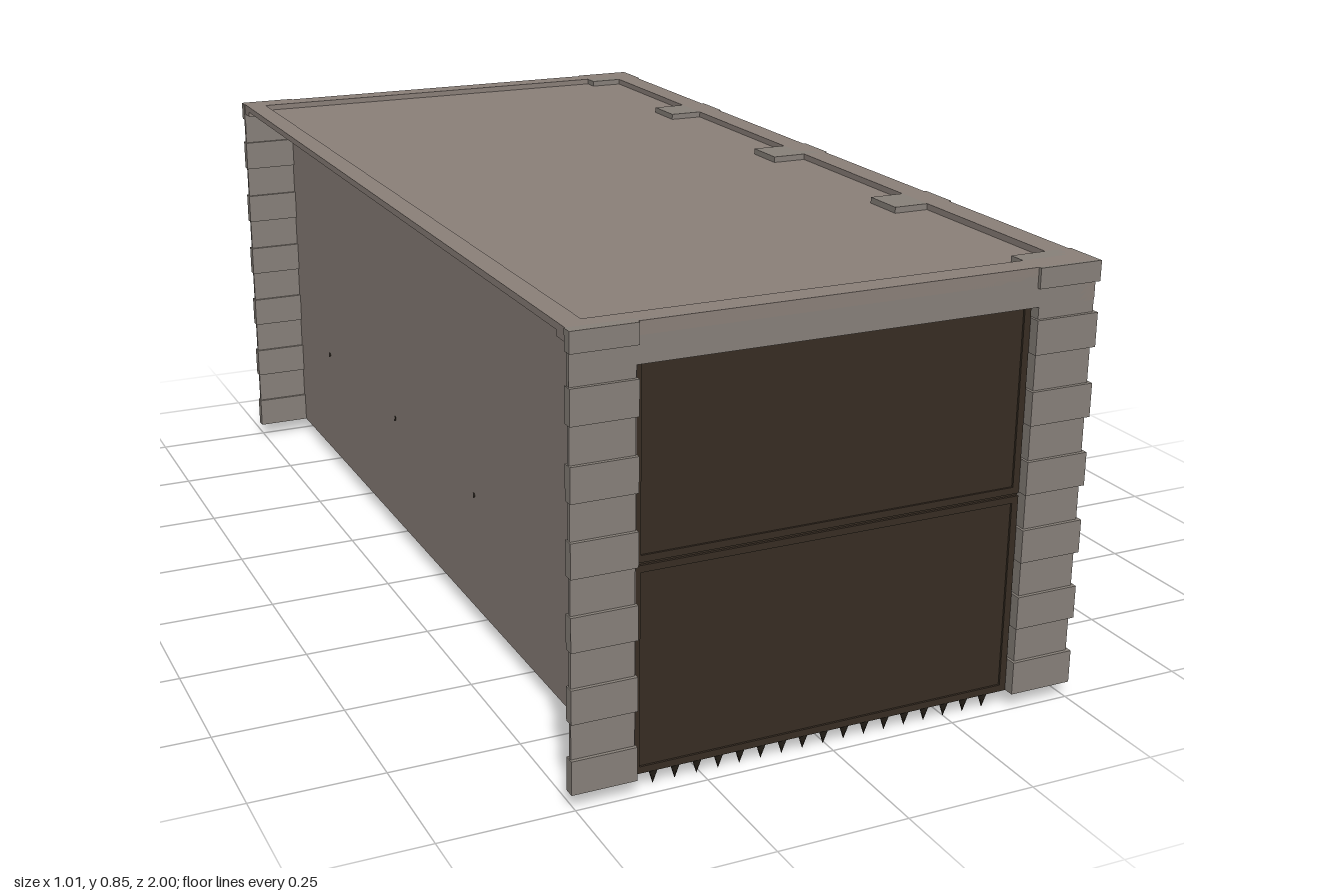
import * as THREE from 'three';

export function createModel() {
  const mat = (name, color) => {
    const m = new THREE.MeshStandardMaterial({ color });
    m.name = name;
    return m;
  };
  const plaster = mat('warm plaster', 0x8b8079);
  const stone = mat('grey stone', 0x88817a);
  const wood = mat('dark wood', 0x372d23);
  const iron = mat('black iron', 0x2a241c);

  const model = new THREE.Group();
  model.name = 'stableBlock';

  // Box given by its minimum and maximum on each axis
  const box = (parent, name, m, x0, x1, y0, y1, z0, z1) => {
    const mesh = new THREE.Mesh(new THREE.BoxGeometry(x1 - x0, y1 - y0, z1 - z0), m);
    mesh.position.set((x0 + x1) / 2, (y0 + y1) / 2, (z0 + z1) / 2);
    mesh.name = name;
    parent.add(mesh);
    return mesh;
  };
  const group = (name) => {
    const g = new THREE.Group();
    g.name = name;
    model.add(g);
    return g;
  };

  const FLOOR = 0.03, TOP = 0.848;

  // Heights of the alternating stone blocks; the last is cut by the roof
  const courses = [];
  for (let i = 0; i < 7; i++) {
    const y = i === 6 ? 0.81 : FLOOR + i * 0.1318;
    courses.push([y, i === 6 ? TOP : y + 0.064]);
  }

  // Roof: recessed slab inside a raised rim
  const roof = group('roof');
  box(roof, 'roofSlab', plaster, -0.465, 0.45, 0.824, 0.836, -0.947, 0.947);
  box(roof, 'roofRimRight', plaster, -0.505, -0.463, 0.835, TOP, -0.993, 0.993);
  box(roof, 'roofRimLeft', plaster, 0.45, 0.5, 0.775, TOP, -0.993, 0.993);
  for (const s of [-1, 1]) {
    const z = [s * 0.945, s * 0.993].sort((a, b) => a - b);
    box(roof, 'roofRimEnd', plaster, -0.505, 0.5, 0.824, TOP, z[0], z[1]);
    // Lintel over each end panel
    const l = [s * 0.982, s * 0.993].sort((a, b) => a - b);
    box(roof, 'endLintel', stone, -0.505, 0.5, 0.775, TOP, l[0], l[1]);
  }

  // Closed side wall, set in from the roof edge
  box(model, 'sideWall', plaster, -0.392, -0.385, FLOOR, 0.83, -0.99, 0.99);

  // Thin facade piers beside the closed wall, blocked on both faces
  for (const s of [-1, 1]) {
    const pier = group('facadePier');
    const span = (a, b) => (s > 0 ? [a, b] : [-b, -a]);
    box(pier, 'pierPlate', stone, -0.505, -0.388, FLOOR, TOP - 0.002, ...span(0.985, 0.993));
    for (const [y0, y1] of courses)
      box(pier, 'pierBlock', stone, -0.507, -0.385, y0, y1, ...span(0.979, 1.0));
  }

  // Open-side pillars
  for (const z of [-0.955, -0.4975, 0, 0.4825, 0.955]) {
    const corner = Math.abs(z) > 0.9;
    const pillar = group(corner ? 'cornerPillar' : 'middlePillar');
    box(pillar, 'pillarShaft', stone, 0.383, 0.499, FLOOR, TOP - 0.002, z - 0.038, z + 0.038);
    courses.forEach(([y0, y1], i) => {
      const x1 = corner || i === 6 ? 0.505 : 0.498;
      box(pillar, 'pillarBlock', stone, 0.378, x1, y0, y1, z - 0.045, z + 0.045);
    });
  }

  // Partitions: two framed panels with a row of spikes beneath
  const spikeGeo = new THREE.ConeGeometry(0.01, 0.032, 6);
  spikeGeo.rotateX(Math.PI);
  for (const z of [-0.945, -0.485, 0.015, 0.5, 0.97]) {
    const part = group('partition');
    const xa = -0.385, xb = 0.377, f = 0.013, t = 0.01;
    for (const [y0, y1] of [[FLOOR, 0.419], [0.424, 0.825]]) {
      box(part, 'panelBoard', wood, xa, xb, y0, y1, z - t + 0.004, z + t - 0.004);
      box(part, 'panelBottomRail', wood, xa, xb, y0, y0 + f, z - t, z + t);
      box(part, 'panelTopRail', wood, xa, xb, y1 - f, y1, z - t, z + t);
      box(part, 'panelStile', wood, xa, xa + f, y0 + f, y1 - f, z - t, z + t);
      box(part, 'panelStile', wood, xb - f, xb, y0 + f, y1 - f, z - t, z + t);
    }
    box(part, 'middleJoint', wood, xa, xb, 0.418, 0.425, z - 0.005, z + 0.005);
    for (let i = 0; i < 17; i++) {
      const spike = new THREE.Mesh(spikeGeo, iron);
      spike.name = 'spike';
      spike.position.set(-0.342 + i * 0.0422, 0.016, z);
      part.add(spike);
    }
  }

  // Small wall hook in every stall
  const hookCurve = new THREE.CatmullRomCurve3([
    new THREE.Vector3(-0.395, 0.275, 0),
    new THREE.Vector3(-0.375, 0.27, 0),
    new THREE.Vector3(-0.365, 0.245, 0),
    new THREE.Vector3(-0.352, 0.235, 0),
    new THREE.Vector3(-0.345, 0.255, 0),
  ]);
  const hookGeo = new THREE.TubeGeometry(hookCurve, 12, 0.005, 6);
  for (const z of [-0.735, -0.245, 0.245, 0.73]) {
    const hook = group('wallHook');
    hook.position.z = z;
    box(hook, 'hookPlate', iron, -0.386, -0.379, 0.235, 0.295, -0.009, 0.009);
    const bend = new THREE.Mesh(hookGeo, iron);
    bend.name = 'hookBend';
    hook.add(bend);
  }

  return model;
}
